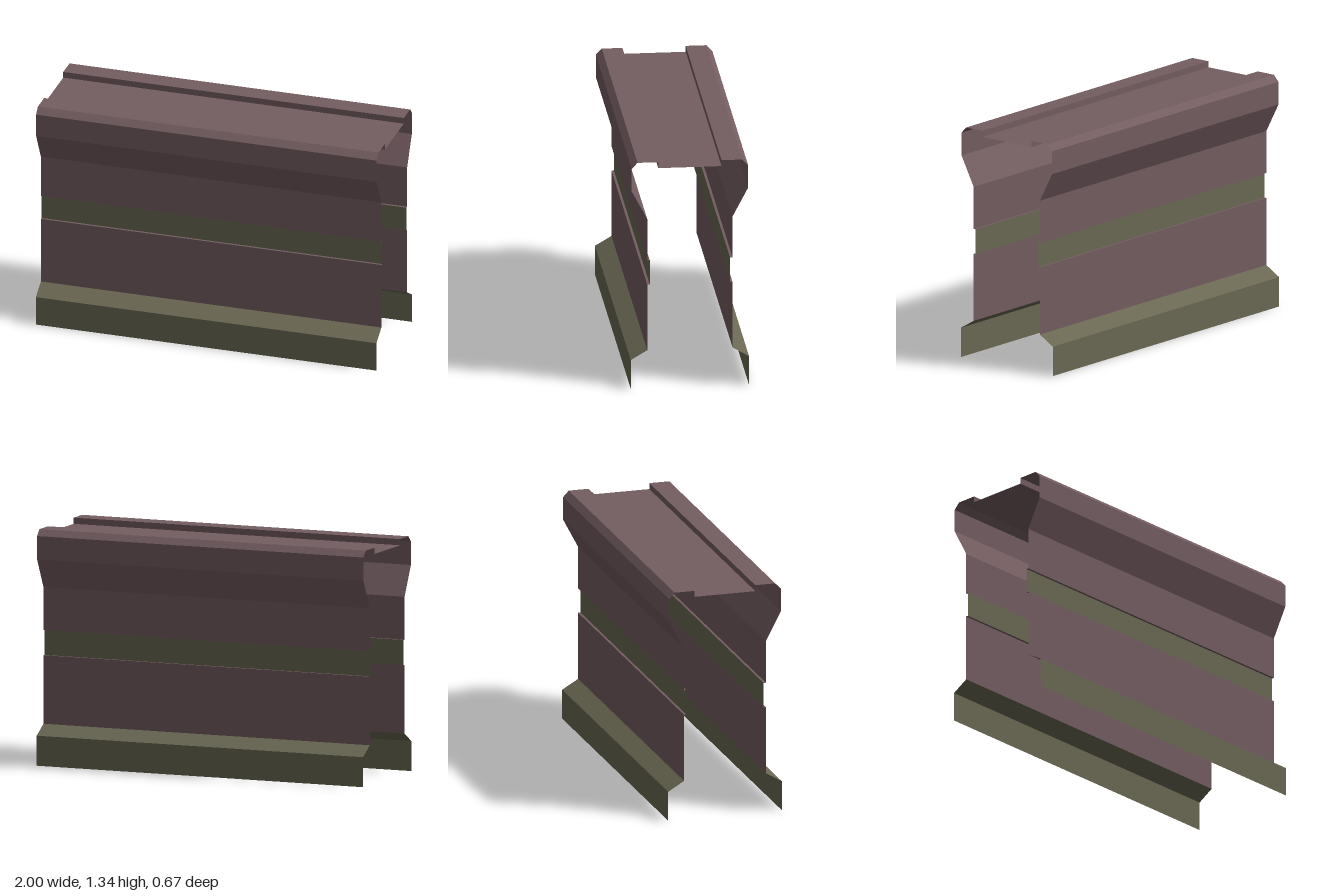
import * as THREE from 'three';

const mauve = new THREE.MeshStandardMaterial({ color: 0x745d61, side: THREE.DoubleSide });
mauve.name = 'mauve panel';
const olive = new THREE.MeshStandardMaterial({ color: 0x6a6853, side: THREE.DoubleSide });
olive.name = 'olive trim';

const HALF_LENGTH = 1;

// Sweeps an open [z, y] profile along x into flat, sharp-edged sheets.
function sheet(name, profile, material) {
  const pos = [];
  for (let i = 0; i < profile.length - 1; i++) {
    const [z0, y0] = profile[i];
    const [z1, y1] = profile[i + 1];
    const a = [-HALF_LENGTH, y0, z0], b = [HALF_LENGTH, y0, z0];
    const c = [HALF_LENGTH, y1, z1], d = [-HALF_LENGTH, y1, z1];
    pos.push(...a, ...b, ...c, ...a, ...c, ...d);
  }
  const geometry = new THREE.BufferGeometry();
  geometry.setAttribute('position', new THREE.Float32BufferAttribute(pos, 3));
  geometry.computeVertexNormals();
  const mesh = new THREE.Mesh(geometry, material);
  mesh.name = name;
  return mesh;
}

// One side, from the floor up to the edge of the sunken top.
const sideParts = [
  ['skirting', [[0.333, 0], [0.333, 0.17], [0.24, 0.225]], olive],
  ['lowerPanel', [[0.24, 0.225], [0.24, 0.613], [0.226, 0.613]], mauve],
  ['recessedBand', [[0.226, 0.613], [0.226, 0.757]], olive],
  ['upperPanel', [[0.226, 0.757], [0.24, 0.757], [0.24, 1]], mauve],
  ['cornice', [[0.24, 1], [0.328, 1.168], [0.328, 1.3], [0.295, 1.335]], mauve],
  ['topRim', [[0.295, 1.335], [0.178, 1.335], [0.178, 1.3]], mauve],
];

export function createModel() {
  const model = new THREE.Group();
  model.name = 'wallSection';

  // Front side, and the same side turned around for the back
  for (const [name, turn] of [['frontSide', 0], ['backSide', Math.PI]]) {
    const side = new THREE.Group();
    side.name = name;
    side.rotation.y = turn;
    for (const [part, profile, material] of sideParts) side.add(sheet(part, profile, material));
    model.add(side);
  }

  // Sunken walkway between the rims
  model.add(sheet('topWalkway', [[0.178, 1.3], [-0.178, 1.3]], mauve));
  return model;
}
